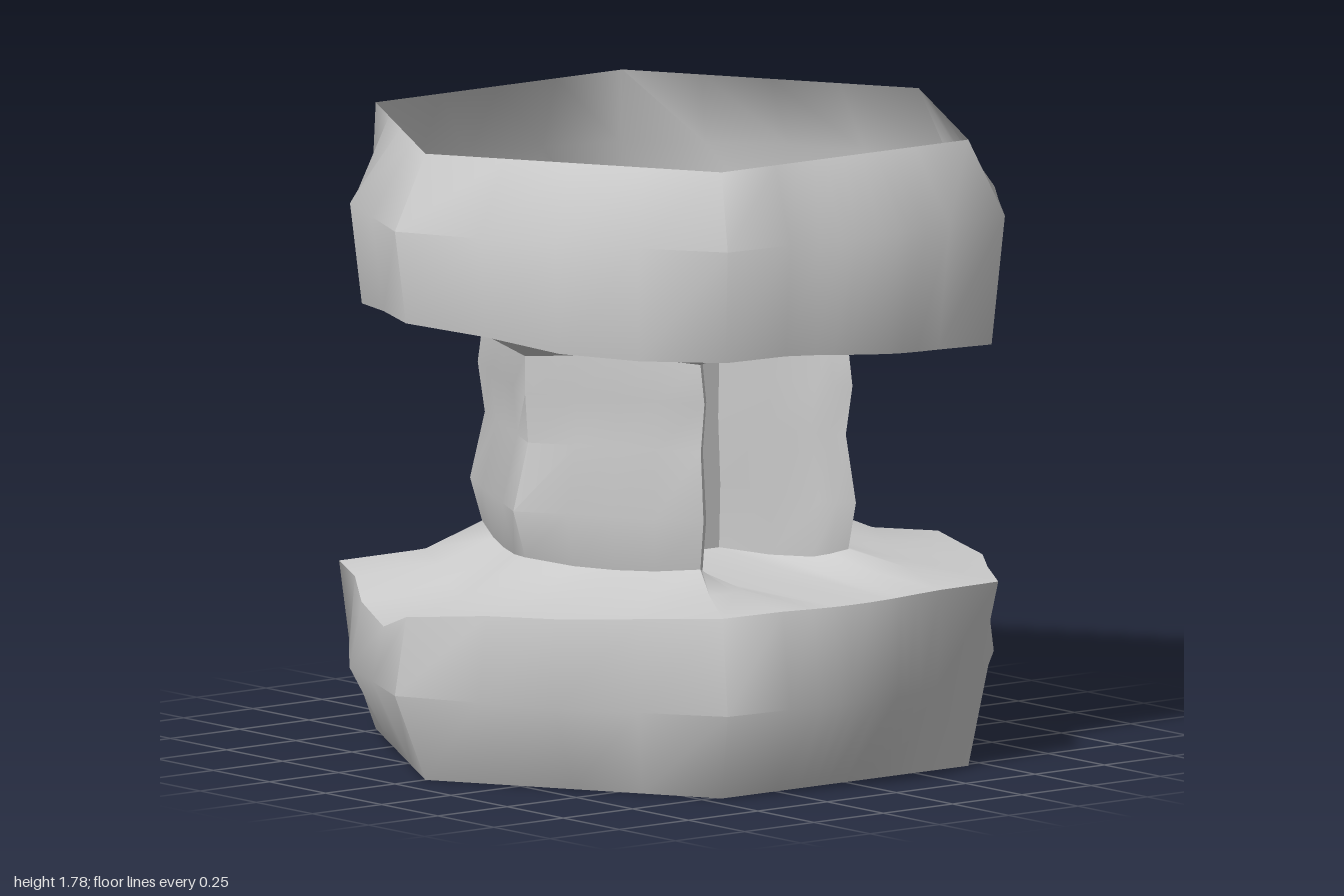
import * as THREE from 'three';
import { toCreasedNormals } from 'three/addons/utils/BufferGeometryUtils.js';

const rad = THREE.MathUtils.degToRad;
const lerp = THREE.MathUtils.lerp;
const cos = deg => Math.cos(rad(deg));
const sin = deg => Math.sin(rad(deg));

// Radius of a hexagon with corners on the z axis
const hexRadius = (deg, corner) => corner * cos(30) / cos(deg - 60 * Math.round(deg / 60));

// Hexagon with slightly swollen sides
const swollen = (deg, corner) => hexRadius(deg, corner) + 0.05 * cos(3 * deg) ** 2;

const polar = (deg, r, y) => [r * cos(deg), y, r * sin(deg)];

// Smooth local dent around one angle
const dip = (deg, centre, width, depth) => depth * Math.exp(-(((deg - centre) / width) ** 2));

// Columns around the body: [angle from +x toward +z, throat x, throat z]
function makeColumns() {
  const slot = [[5, 0, 0.17], [8, 0.2, 0.19], [12, 0.38, 0.2], [18, 0.42, 0.23]];
  const throat = [];
  for (let a = 30; a <= 330; a += 15) {
    const flat = Math.abs(a - 180) < 20 ? 0.05 : 0;
    const r = hexRadius(a, 0.55 - 0.035 * cos(a) - 0.02 * sin(a)) - flat;
    throat.push([a, r * cos(a), r * sin(a)]);
  }
  const mirrored = slot.map(([a, x, z]) => [360 - a, x, -z]).reverse();
  return [[0, 0, 0], ...slot, ...throat, ...mirrored];
}

// Loft a closed band; each column gives its points from bottom to top
function loft(name, profile) {
  const columns = makeColumns().map(c => profile(...c));
  const rows = columns[0].length, n = columns.length, index = [];
  for (let i = 0; i < n; i++) {
    for (let j = 0; j < rows - 1; j++) {
      const a = i * rows + j, b = ((i + 1) % n) * rows + j;
      index.push(a, a + 1, b, b, a + 1, b + 1);
    }
  }
  const geometry = new THREE.BufferGeometry();
  geometry.setAttribute('position', new THREE.Float32BufferAttribute(columns.flat(2), 3));
  geometry.setIndex(index);
  const mesh = new THREE.Mesh(
    toCreasedNormals(geometry, rad(58)),
    new THREE.MeshStandardMaterial({ color: 0xcccccc, side: THREE.DoubleSide })
  );
  mesh.name = name;
  return mesh;
}

// Uneven rims of the two bowls
const lowerRim = a => polar(a,
  swollen(a, 0.96) + dip(a, 150, 12, 0.04) - dip(a, 30, 15, 0.05) + dip(a, 330, 12, 0.02),
  0.5 + 0.025 * cos(a) - 0.015 * sin(a) - dip(a, 108, 14, 0.08));
const upperRim = a => polar(a,
  swollen(a, 0.96) - dip(a, 150, 15, 0.04) + dip(a, 210, 12, 0.03),
  1.26 - 0.03 * cos(a) + 0.03 * sin(a) ** 2 + 0.015 * sin(5 * a) - dip(a, 318, 18, 0.05));

// Widest loops, with some corners worn down
const lowerBulge = a => polar(a,
  swollen(a, 1) - dip(a, 150, 15, 0.03) - dip(a, 270, 15, 0.05) - dip(a, 330, 15, 0.08), 0.25);
const upperBulge = a => polar(a,
  swollen(a, 1) - dip(a, 150, 15, 0.1) - dip(a, 210, 15, 0.08), 1.57);

// Sloping shelf between the rim and the throat
const shelf = (rim, x, y, z) => [lerp(x, rim[0], 0.4), lerp(y, rim[1], 0.65), lerp(z, rim[2], 0.4)];

// Heights where the shelves meet the throat
const lowY = (x, z) => 0.55 + 0.06 * Math.min(1, Math.hypot(x, z) / 0.57) ** 4;
const highY = (x, z) => 1.21 - 0.05 * Math.min(1, Math.hypot(x, z) / 0.57) ** 2;

export function createModel() {
  const group = new THREE.Group();
  group.name = 'hexagonalSpool';

  // Lower bowl, open underneath, closing in to the throat
  group.add(loft('lowerShell', (a, x, z) => {
    const rim = lowerRim(a), y = lowY(x, z);
    return [polar(a, hexRadius(a, 0.89), 0), lowerBulge(a), rim, shelf(rim, x, y, z), [x, y, z]];
  }));

  // Narrow hexagonal tube with a deep slot on one side
  group.add(loft('slottedThroat', (a, x, z) => [
    [x, lowY(x, z), z],
    [x * 1.07, 0.73, z * (1.03 + 0.05 * sin(a))],
    [x * 0.99, 0.92, z * 0.98],
    [x * 1.04, 1.06, z],
    [x, highY(x, z), z],
  ]));

  // Upper bowl, open above
  group.add(loft('upperShell', (a, x, z) => {
    const rim = upperRim(a), y = highY(x, z);
    return [[x, y, z], shelf(rim, x, y, z), rim, upperBulge(a), polar(a, hexRadius(a, 0.89), 1.78)];
  }));

  return group;
}
